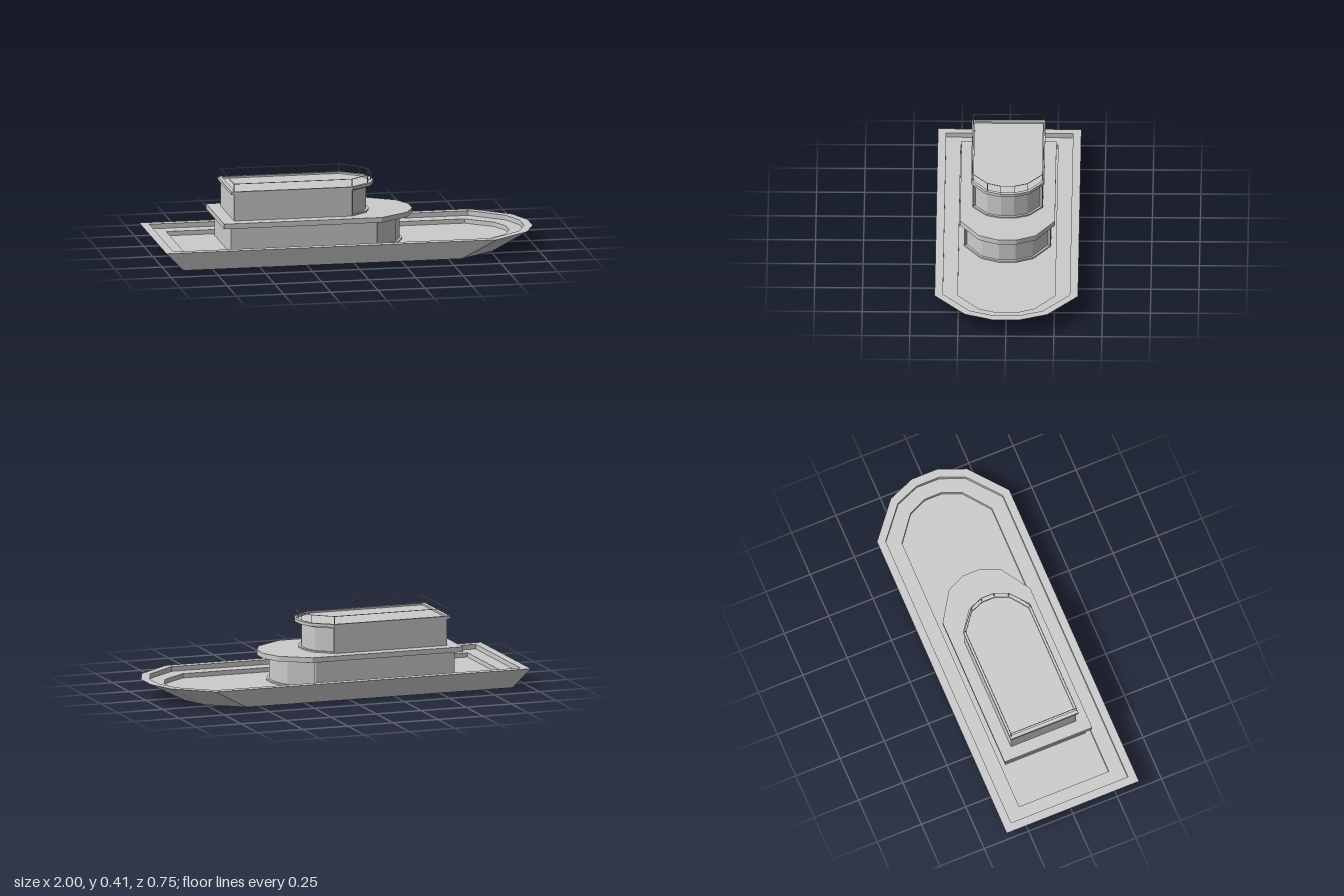
import * as THREE from 'three';

const material = new THREE.MeshStandardMaterial({ color: 0xcccccc, flatShading: true });

// Boat-shaped plan outline: square stern, five-sided bow. Returns [x, z] points.
function outline(stern, shoulder, tip, w, mid = 0.6, nose = 0.2) {
  const side = [
    [stern, w],
    [shoulder, w],
    [shoulder + (tip - shoulder) * 0.77, w * mid],
    [tip, w * nose],
  ];
  return [...side, ...side.map(([x, z]) => [x, -z]).reverse()];
}

// Joins a stack of rings { y, pts } and caps the first and last.
function loft(name, rings) {
  const pos = [];
  const tri = (...corners) => corners.forEach((c) => pos.push(...c));
  const rows = rings.map(({ y, pts }) => pts.map(([x, z]) => [x, y, z]));
  const n = rows[0].length;
  for (let r = 0; r < rows.length - 1; r++) {
    const a = rows[r], b = rows[r + 1];
    for (let i = 0; i < n; i++) {
      const j = (i + 1) % n;
      tri(a[i], a[j], b[j]);
      tri(a[i], b[j], b[i]);
    }
  }
  const bottom = rows[0], top = rows[rows.length - 1];
  for (let i = 1; i < n - 1; i++) {
    tri(bottom[0], bottom[i + 1], bottom[i]);
    tri(top[0], top[i], top[i + 1]);
  }
  const geometry = new THREE.BufferGeometry();
  geometry.setAttribute('position', new THREE.Float32BufferAttribute(pos, 3));
  geometry.computeVertexNormals();
  const mesh = new THREE.Mesh(geometry, material);
  mesh.name = name;
  return mesh;
}

// Cabin whose bow faces are set back inside a narrow frame.
function cabin(name, y0, y1, sill, stern, shoulder, tip, w) {
  const lip = 0.008, depth = 0.014;
  const full = outline(stern, shoulder, tip, w);
  // Frame corner just in front of each shoulder
  const t = 0.06;
  const fx = shoulder + (full[2][0] - shoulder) * t;
  const fz = w + (full[2][1] - w) * t;
  const inner = outline(stern, shoulder, tip - depth, w - depth * 0.7);
  const ring = (bow, x, z) => [
    full[0], full[1], [fx, fz], [x, z],
    ...bow.slice(2, 6),
    [x, -z], [fx, -fz], full[6], full[7],
  ];
  const outer = ring(full, fx, fz);
  const recessed = ring(inner, fx - depth * 0.5, fz - depth * 0.8);
  return loft(name, [
    { y: y0, pts: outer },
    { y: sill + lip, pts: outer },
    { y: sill + lip, pts: recessed },
    { y: y1 - lip, pts: recessed },
    { y: y1 - lip, pts: outer },
    { y: y1, pts: outer },
  ]);
}

// Thin round bar between two points
function bar(name, a, b, radius) {
  const dir = b.clone().sub(a);
  const mesh = new THREE.Mesh(new THREE.CylinderGeometry(radius, radius, dir.length(), 6), material);
  mesh.position.copy(a).add(b).multiplyScalar(0.5);
  mesh.quaternion.setFromUnitVectors(new THREE.Vector3(0, 1, 0), dir.normalize());
  mesh.name = name;
  return mesh;
}

function railing() {
  const group = new THREE.Group();
  group.name = 'railing';
  const pts = outline(-0.605, 0.02, 0.147, 0.184, 0.57, 0.19);
  const at = (i, y) => new THREE.Vector3(pts[i % pts.length][0], y, pts[i % pts.length][1]);
  pts.forEach((_, i) => {
    group.add(bar('railPost', at(i, 0.365), at(i, 0.412), 0.002));
    group.add(bar('handRail', at(i, 0.411), at(i + 1, 0.411), 0.002));
  });
  return group;
}

export function createModel() {
  const model = new THREE.Group();
  model.name = 'boat';

  // Hull with a raised rim and a deck sunk in two steps
  const rim = outline(-1, 0.75, 1, 0.373, 0.575, 0.19);
  const ledge = outline(-0.955, 0.735, 0.955, 0.33, 0.575, 0.19);
  const well = outline(-0.88, 0.7, 0.88, 0.253, 0.575, 0.19);
  model.add(loft('hull', [
    { y: 0, pts: outline(-0.905, 0.57, 0.81, 0.352, 0.6, 0.2) },
    { y: 0.098, pts: rim },
    { y: 0.098, pts: ledge },
    { y: 0.073, pts: ledge },
    { y: 0.073, pts: well },
    { y: 0.05, pts: well },
  ]));

  // Lower cabin and its overhanging roof
  model.add(cabin('lowerCabin', 0.05, 0.188, 0.05, -0.63, 0.14, 0.313, 0.227));
  const lowerRoof = outline(-0.67, 0.165, 0.365, 0.247);
  model.add(loft('lowerRoof', [
    { y: 0.187, pts: lowerRoof },
    { y: 0.214, pts: lowerRoof },
  ]));

  // Upper cabin and its roof with a shallow sunken top
  model.add(cabin('upperCabin', 0.213, 0.355, 0.213, -0.605, 0.02, 0.137, 0.184));
  const upperRoof = outline(-0.62, 0.025, 0.16, 0.191);
  const roofWell = outline(-0.6, 0.018, 0.14, 0.177);
  model.add(loft('upperRoof', [
    { y: 0.354, pts: upperRoof },
    { y: 0.37, pts: upperRoof },
    { y: 0.37, pts: roofWell },
    { y: 0.361, pts: roofWell },
  ]));

  model.add(railing());
  return model;
}
